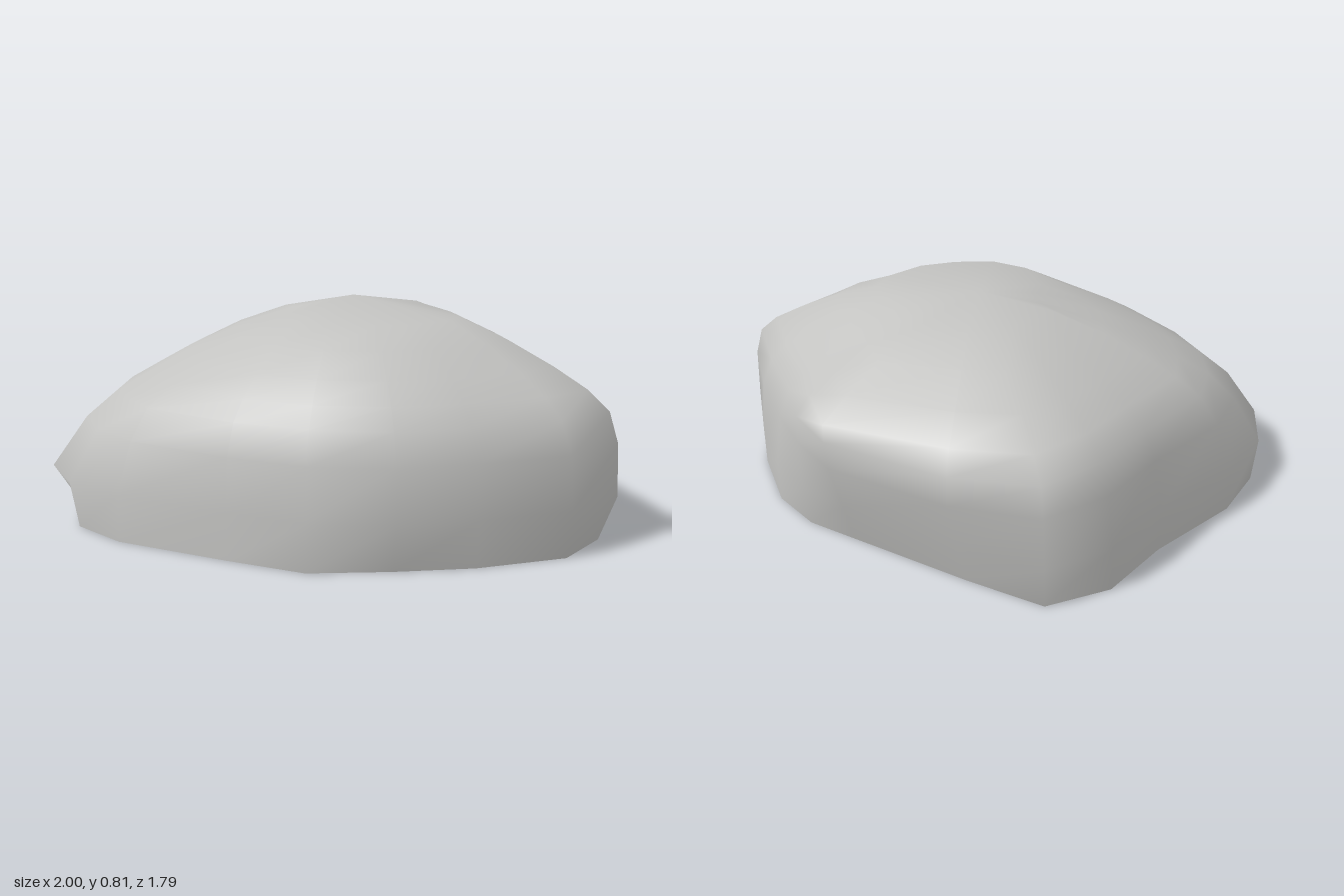
import * as THREE from 'three';

// Columns round the widest outline, from the narrow end: x, z, steepness, shoulder bulge
const COLUMNS = [
  [-1, 0, 0.12, 0], [-0.91, -0.25, 0.16, 0.02], [-0.71, -0.44, 0.36, 0.05], [-0.36, -0.64, 0.4, 0.08],
  [-0.12, -0.83, 0.33, 0.1], [0.14, -0.9, 0.3, 0.15], [0.43, -0.73, 0.5, 0.16], [0.8, -0.4, 0.8, 0.2],
  [0.88, -0.18, 0.72, 0.12], [0.96, 0.04, 0.68, 0.04], [1, 0.35, 0.72, 0.05], [1, 0.66, 0.72, 0.08],
  [0.79, 0.8, 0.85, 0.04], [0.45, 0.87, 1, 0], [0.17, 0.89, 1, 0],
  [-0.12, 0.83, 1, 0], [-0.37, 0.68, 0.9, 0.03], [-0.74, 0.44, 0.42, 0.05], [-0.92, 0.25, 0.17, 0.02],
];

// Rings: height, distance from the axis on the gentlest and steepest side, share of the bulge
const RINGS = [
  [0, 1, 1, 0], [0.17, 1, 1, 0], [0.36, 0.87, 0.985, 0.5], [0.47, 0.75, 0.93, 1], [0.54, 0.63, 0.87, 1],
  [0.61, 0.52, 0.79, 0.6], [0.69, 0.36, 0.67, 0.2], [0.76, 0.15, 0.52, 0],
];
const PEAK = [0.16, 0.812, 0.01];

function ring([y, gentle, steep, share]) {
  return COLUMNS.map(([cx, cz, w, bulge]) => {
    const s = Math.min(1, THREE.MathUtils.lerp(gentle, steep, w) + bulge * share);
    let x = THREE.MathUtils.lerp(PEAK[0], cx, s);
    let z = THREE.MathUtils.lerp(PEAK[2], cz, s);
    // undercut below the back left corner
    const cut = Math.max(0, x - z - (1.02 + y * 0.45)) / 2;
    x -= cut;
    z += cut;
    // foot tucked in at the narrow end, front, back and front left corner
    if (y === 0) {
      x = Math.max(x, -0.89);
      z = THREE.MathUtils.clamp(z, -0.87, 0.85);
      const corner = Math.max(0, x + z - 1.57) / 2;
      x -= corner;
      z -= corner;
    }
    return [x, y, z];
  });
}

function rockSides() {
  const n = COLUMNS.length;
  const points = RINGS.flatMap(ring);
  const index = [];
  for (let r = 0; r < RINGS.length - 1; r++) {
    for (let i = 0; i < n; i++) {
      const a = r * n + i, b = r * n + (i + 1) % n;
      index.push(a, a + n, b, b, a + n, b + n);
    }
  }
  // crown of triangles up to the peak
  const last = (RINGS.length - 1) * n;
  for (let i = 0; i < n; i++) index.push(last + i, points.length, last + (i + 1) % n);
  points.push(PEAK);
  const g = new THREE.BufferGeometry();
  g.setAttribute('position', new THREE.Float32BufferAttribute(points.flat(), 3));
  g.setIndex(index);
  g.computeVertexNormals();
  return g;
}

function rockBase() {
  const shape = new THREE.Shape(ring(RINGS[0]).map(([x, , z]) => new THREE.Vector2(x, z)));
  return new THREE.ShapeGeometry(shape).rotateX(Math.PI / 2);
}

export function createModel() {
  const stone = new THREE.MeshStandardMaterial({ color: 0xc3c3c1 });
  stone.name = 'stoneGrey';
  const group = new THREE.Group();
  group.name = 'boulder';
  const parts = { rockSurface: rockSides(), flatBase: rockBase() };
  for (const [name, geometry] of Object.entries(parts)) {
    const mesh = new THREE.Mesh(geometry, stone);
    mesh.name = name;
    group.add(mesh);
  }
  return group;
}
